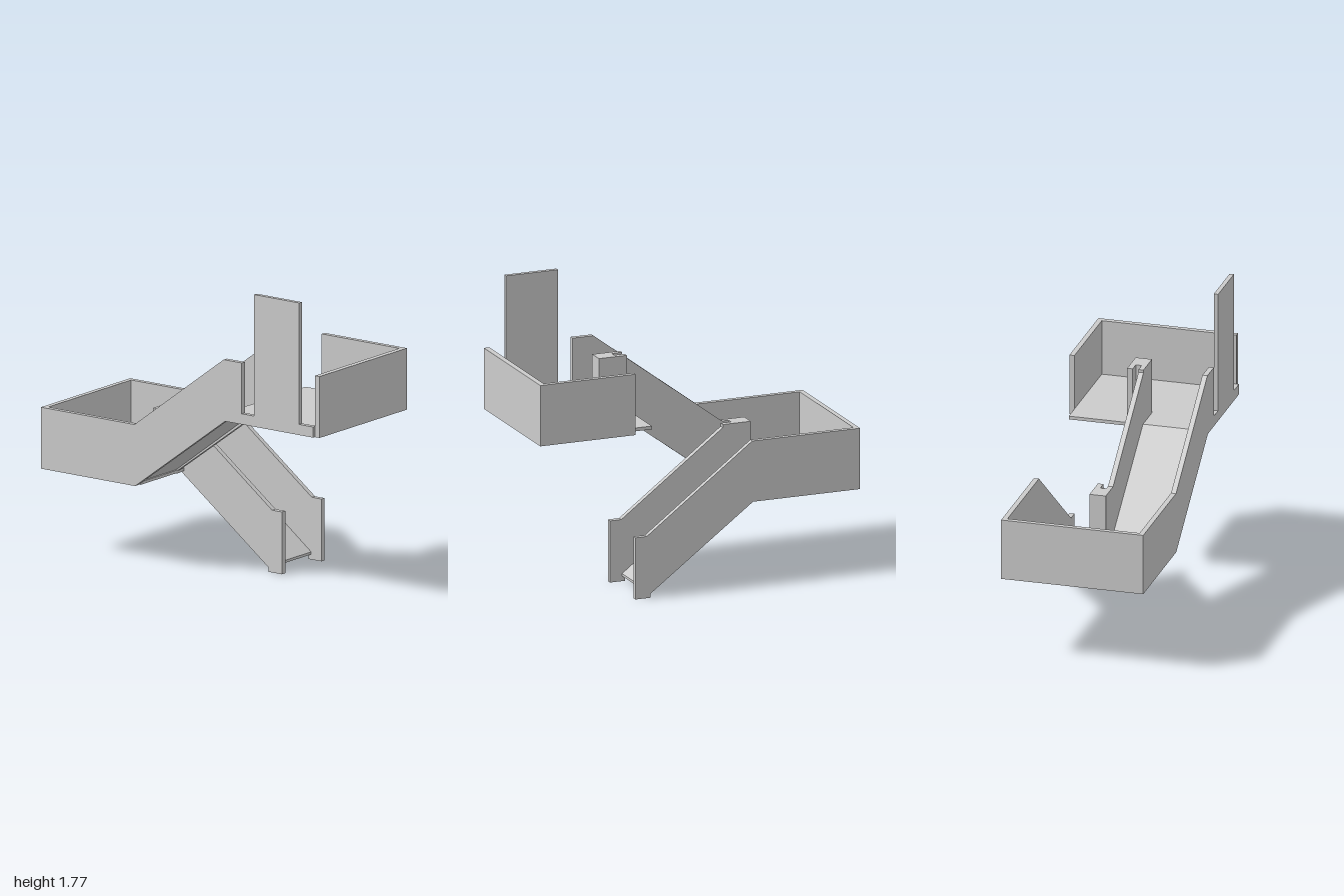
import * as THREE from 'three';

const material = new THREE.MeshStandardMaterial({ color: 0xcccccc, flatShading: true });

export function createModel() {
  const model = new THREE.Group();

  const add = (name, geometry) => {
    const mesh = new THREE.Mesh(geometry, material);
    mesh.name = name;
    model.add(mesh);
  };

  // Box given by its limits on each axis
  const block = (name, x0, x1, y0, y1, z0, z1) => add(name,
    new THREE.BoxGeometry(x1 - x0, y1 - y0, z1 - z0)
      .translate((x0 + x1) / 2, (y0 + y1) / 2, (z0 + z1) / 2));

  // Side profile of [z, y] points, extruded from x0 to x1
  const profile = (name, x0, x1, points) => {
    const shape = new THREE.Shape(points.map(([z, y]) => new THREE.Vector2(-z, y)));
    const geometry = new THREE.ExtrudeGeometry(shape, { depth: x1 - x0, bevelEnabled: false });
    add(name, geometry.rotateY(Math.PI / 2).translate(x0, 0, 0));
  };

  // Lower flight: outer wall runs on along the middle landing
  const lowerFoot = [[0.335, 0.37], [0.405, 0.37], [0.405, 0], [0.31, 0], [0.31, 0.025]];
  profile('lowerOuterWall', 0.395, 0.425,
    [...lowerFoot, [-0.33, 0.503], [-1, 0.503], [-1, 0.868], [-0.325, 0.868]]);
  profile('lowerInnerWall', 0.015, 0.048,
    [...lowerFoot, [-0.325, 0.503], [-0.325, 0.868]]);
  profile('lowerRamp', 0.048, 0.395,
    [[0.33, 0.03], [0.33, 0.045], [-0.3, 0.525], [-0.33, 0.525], [-0.33, 0.51]]);

  // Middle landing
  block('middleFloor', -0.4, 0.395, 0.508, 0.525, -0.97, -0.3);
  block('middleBackWall', -0.4, 0.395, 0.503, 0.868, -1, -0.97);

  // Upper flight: outer wall joins both landings
  profile('upperOuterWall', -0.428, -0.398,
    [[-1, 0.503], [-1, 0.868], [-0.325, 0.868], [0.32, 1.352], [0.45, 1.352],
      [0.45, 0.987], [0.33, 0.987], [-0.32, 0.503]]);
  profile('upperInnerWall', -0.05, -0.02,
    [[-0.325, 0.503], [-0.325, 0.868], [0.3, 1.335], [0.3, 0.965]]);
  profile('upperRamp', -0.398, -0.05,
    [[-0.39, 0.525], [0.29, 1.02], [0.32, 1.02], [0.32, 1.0], [-0.33, 0.51], [-0.39, 0.51]]);

  // Upper landing
  block('upperFloor', -0.4, 0.395, 1.0, 1.02, 0.29, 0.97);
  block('upperFrontWall', -0.412, 0.425, 0.987, 1.352, 0.967, 1);
  block('upperSideWall', 0.395, 0.425, 0.987, 1.352, 0.405, 0.967);
  block('doorSill', -0.428, -0.398, 0.987, 1.05, 0.45, 0.967);
  block('doorPanel', -0.428, -0.402, 1.05, 1.772, 0.54, 0.865);

  // Central posts, each with two legs reaching to the inner walls
  for (const [name, side, y0, y1] of [['middlePost', -1, 0.505, 0.868], ['upperPost', 1, 0.987, 1.352]]) {
    const span = (a, b) => (side > 0 ? [a, b] : [-b, -a]);
    block(name, -0.05, 0.048, y0, y1, ...span(0.365, 0.475));
    block(name + 'RightLeg', -0.05, -0.02, y0, y1, ...span(0.3, 0.365));
    block(name + 'LeftLeg', 0.015, 0.048, y0, y1, ...span(0.3, 0.365));
  }

  return model;
}
